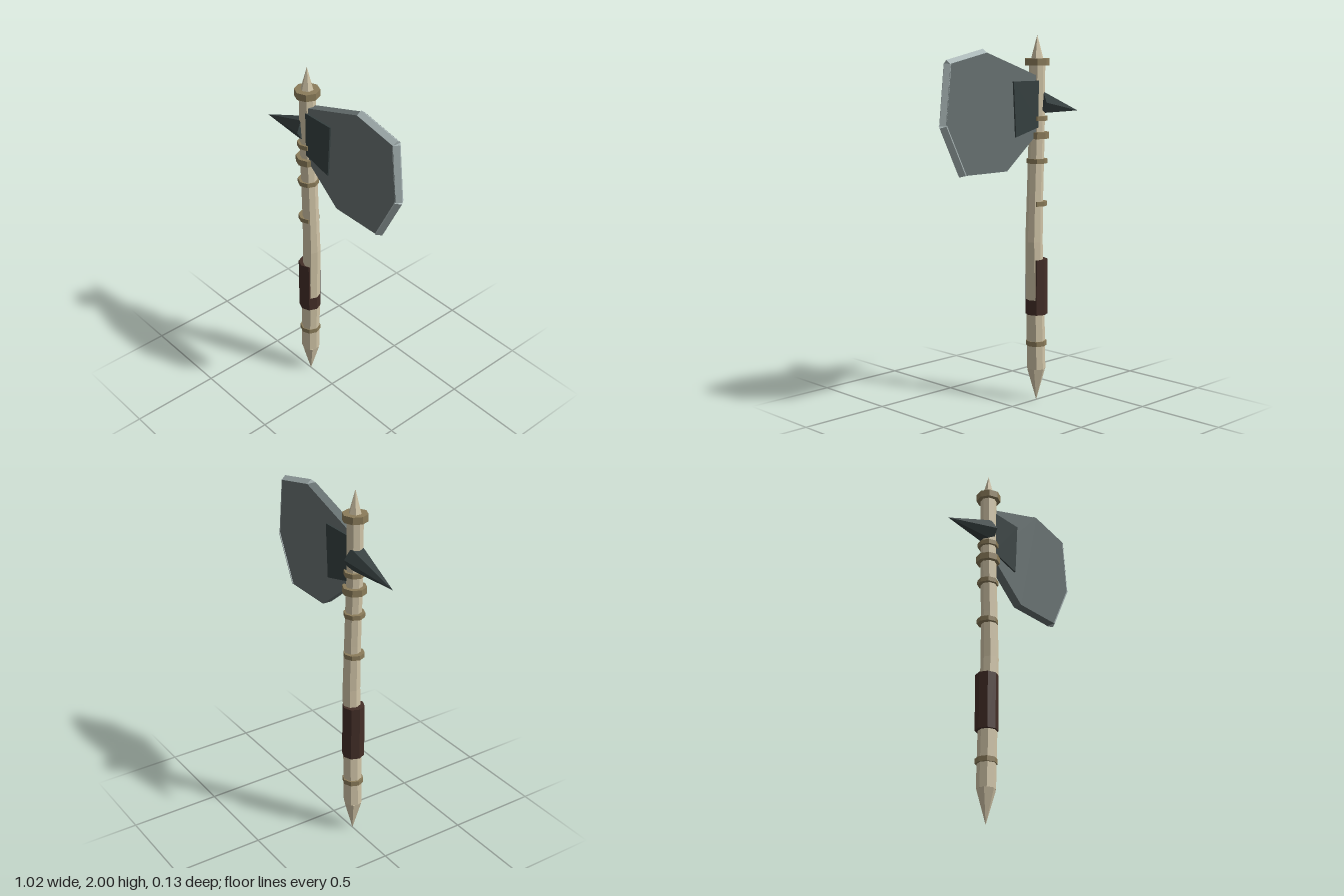
import * as THREE from 'three';

const mat = (color) => new THREE.MeshStandardMaterial({ color, flatShading: true });
const WOOD = mat(0xcfc3a6), BRASS = mat(0x8b7c5a), LEATHER = mat(0x432e27);
const STEEL = mat(0x667070), DARK = mat(0x353f3f), EDGE = mat(0xa9b6b6);
const AXIS = -0.187; // x of the handle line

export function createModel() {
  const group = new THREE.Group();
  const add = (name, geometry, material, x = 0, y = 0, z = 0) => {
    const mesh = new THREE.Mesh(geometry, material);
    mesh.name = name;
    mesh.position.set(x, y, z);
    group.add(mesh);
    return mesh;
  };

  // Slightly bowed eight-sided shaft: [y, radius, sideways bow]
  const sections = [[0.18, 0.05, 0], [0.49, 0.05, 0.008], [0.89, 0.047, 0.021],
    [1.15, 0.044, 0.014], [1.46, 0.043, 0.003], [1.87, 0.043, 0]];
  const profile = sections.map(([y, r]) => new THREE.Vector2(r, y));
  profile.unshift(new THREE.Vector2(0, 0.18));
  profile.push(new THREE.Vector2(0, 1.87));
  const shaft = new THREE.LatheGeometry(profile, 8);
  const pos = shaft.attributes.position;
  for (let i = 0; i < pos.count; i++) {
    const s = sections.find(([y]) => Math.abs(y - pos.getY(i)) < 1e-3);
    pos.setX(i, pos.getX(i) + s[2]);
  }
  add('shaft', shaft, WOOD, AXIS);

  // Pointed ends
  add('topPoint', new THREE.ConeGeometry(0.041, 0.15, 6), WOOD, AXIS, 1.92);
  const pommel = add('bottomPoint', new THREE.ConeGeometry(0.052, 0.18, 6), WOOD, AXIS, 0.09);
  pommel.rotation.x = Math.PI;

  // Binding rings: [y, radius, height]
  for (const [y, r, h] of [[1.853, 0.066, 0.038], [1.555, 0.056, 0.025], [1.465, 0.064, 0.036],
    [1.327, 0.056, 0.025], [1.097, 0.056, 0.025], [0.325, 0.057, 0.027]]) {
    add('ring', new THREE.CylinderGeometry(r, r, h, 8), BRASS, AXIS, y);
  }
  add('grip', new THREE.CylinderGeometry(0.06, 0.06, 0.305, 8), LEATHER, AXIS, 0.64);

  // Flat outline extruded symmetrically about z = 0
  const slab = (points, half) => {
    const shape = new THREE.Shape(points.map(([x, y]) => new THREE.Vector2(x, y)));
    return new THREE.ExtrudeGeometry(shape, { depth: 2 * half, bevelEnabled: false })
      .translate(0, 0, -half);
  };
  add('blade', slab([[-0.18, 1.775], [0.205, 1.905], [0.455, 1.852], [0.488, 1.545],
    [0.36, 1.29], [0.063, 1.29], [-0.14, 1.455], [-0.18, 1.49]], 0.025), STEEL);
  add('cheekPlates', slab([[-0.18, 1.755], [0.022, 1.755], [0.005, 1.465],
    [-0.15, 1.505], [-0.18, 1.512]], 0.034), DARK);

  // Sharpened cutting edges: wedges along the blade's outer sides, [start, end, half thickness]
  for (const [a, b, half] of [[[0.205, 1.905], [0.455, 1.852], 0.024],
    [[0.455, 1.852], [0.488, 1.545], 0.025], [[0.488, 1.545], [0.36, 1.29], 0.029]]) {
    const dx = b[0] - a[0], dy = b[1] - a[1], length = Math.hypot(dx, dy);
    const wedge = new THREE.Shape([[-0.006, -half], [0, -half], [0.02, 0], [0, half], [-0.006, half]]
      .map(([u, v]) => new THREE.Vector2(u, v)));
    const bar = new THREE.ExtrudeGeometry(wedge, { depth: length, bevelEnabled: false });
    const along = new THREE.Vector3(dx, dy, 0).divideScalar(length);
    const out = new THREE.Vector3(-along.y, along.x, 0);
    bar.applyMatrix4(new THREE.Matrix4().makeBasis(out, new THREE.Vector3(0, 0, 1), along)
      .setPosition(a[0], a[1], 0));
    add('cuttingEdge', bar, EDGE);
  }

  // Rear spike, tilted slightly downward
  const base = new THREE.Vector3(-0.19, 1.64, 0), tip = new THREE.Vector3(-0.508, 1.583, 0);
  const dir = tip.clone().sub(base);
  const spike = new THREE.ConeGeometry(0.067, dir.length(), 6);
  const mid = base.clone().add(tip).multiplyScalar(0.5);
  add('rearSpike', spike, DARK, mid.x, mid.y, 0)
    .quaternion.setFromUnitVectors(new THREE.Vector3(0, 1, 0), dir.normalize());

  return group;
}
